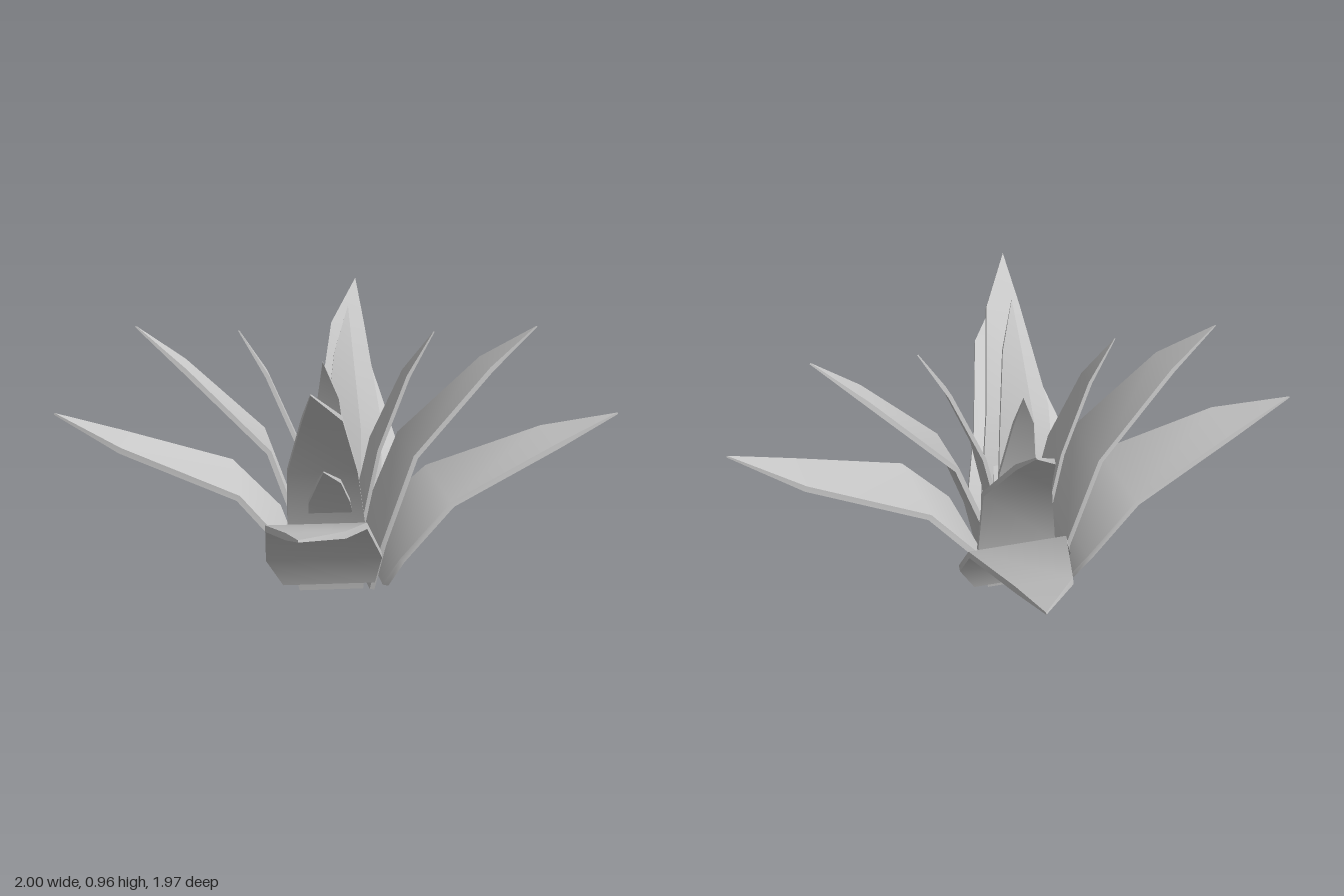
import * as THREE from 'three';

const material = new THREE.MeshStandardMaterial({ color: 0xcccccc });

// Lateral outline of a blade at each of its five cross-sections: [one edge, other edge]
const OUTLINE = [[0.2, -0.13], [0.26, -0.15], [0.26, -0.08], [0.2, 0.02], [0.17, 0.17]];

// Each tier: spine as [distance from axis, height], with width scale and half thickness
const TIERS = [
  { name: 'outerLeaf', width: 1, half: 0.011,
    spine: [[0.14, 0.05], [0.185, 0.175], [0.36, 0.375], [0.76, 0.54], [0.985, 0.635]] },
  { name: 'middleLeaf', width: 0.7, half: 0.009,
    spine: [[0.105, 0.005], [0.135, 0.2], [0.245, 0.53], [0.52, 0.82], [0.68, 0.957]] },
  { name: 'innerLeaf', width: 0.38, half: 0.007,
    spine: [[0.05, 0.005], [0.07, 0.2], [0.135, 0.53], [0.24, 0.79], [0.33, 0.943]] },
];
const LOW_LEAF = { name: 'lowLeaf', width: 0.42, half: 0.007,
  spine: [[0.07, 0.1], [0.12, 0.24], [0.22, 0.405], [0.36, 0.54], [0.47, 0.622]] };

// Thin blade pointing to +z, lofted from rectangular cross-sections
function leafGeometry({ spine, width, half }) {
  const sections = spine.map(([r, y], i) => {
    const a = spine[Math.max(i - 1, 0)];
    const b = spine[Math.min(i + 1, spine.length - 1)];
    const length = Math.hypot(b[0] - a[0], b[1] - a[1]);
    const h = i === spine.length - 1 ? half * 0.3 : half;
    const nr = -(b[1] - a[1]) / length * h;
    const ny = (b[0] - a[0]) / length * h;
    const [left, right] = OUTLINE[i].map((t) => -t * width);
    return [
      [left, y + ny, r + nr], [right, y + ny, r + nr],
      [right, y - ny, r - nr], [left, y - ny, r - nr],
    ];
  });

  const positions = [];
  const index = [];
  // four strips, smooth along the length and sharp at the edges
  for (let side = 0; side < 4; side++) {
    const start = positions.length / 3;
    sections.forEach((s, i) => {
      positions.push(...s[side], ...s[(side + 1) % 4]);
      if (i === 0) return;
      const p = start + (i - 1) * 2;
      index.push(p, p + 2, p + 3, p, p + 3, p + 1);
    });
  }
  // base cap
  const cap = positions.length / 3;
  sections[0].forEach((v) => positions.push(...v));
  index.push(cap, cap + 1, cap + 2, cap, cap + 2, cap + 3);

  const geometry = new THREE.BufferGeometry();
  geometry.setAttribute('position', new THREE.Float32BufferAttribute(positions, 3));
  geometry.setIndex(index);
  geometry.computeVertexNormals();
  return geometry;
}

export function createModel() {
  const plant = new THREE.Group();
  plant.name = 'plant';
  // headings around the axis: front, left, back, right
  const headings = [0, 97.5, 180, 275];

  for (const tier of TIERS) {
    const geometry = leafGeometry(tier);
    for (const heading of headings) {
      const leaf = new THREE.Mesh(geometry, material);
      leaf.name = tier.name;
      leaf.rotation.y = THREE.MathUtils.degToRad(heading);
      plant.add(leaf);
    }
  }

  // single short leaf between the front tiers
  const low = new THREE.Mesh(leafGeometry(LOW_LEAF), material);
  low.name = LOW_LEAF.name;
  plant.add(low);
  return plant;
}
